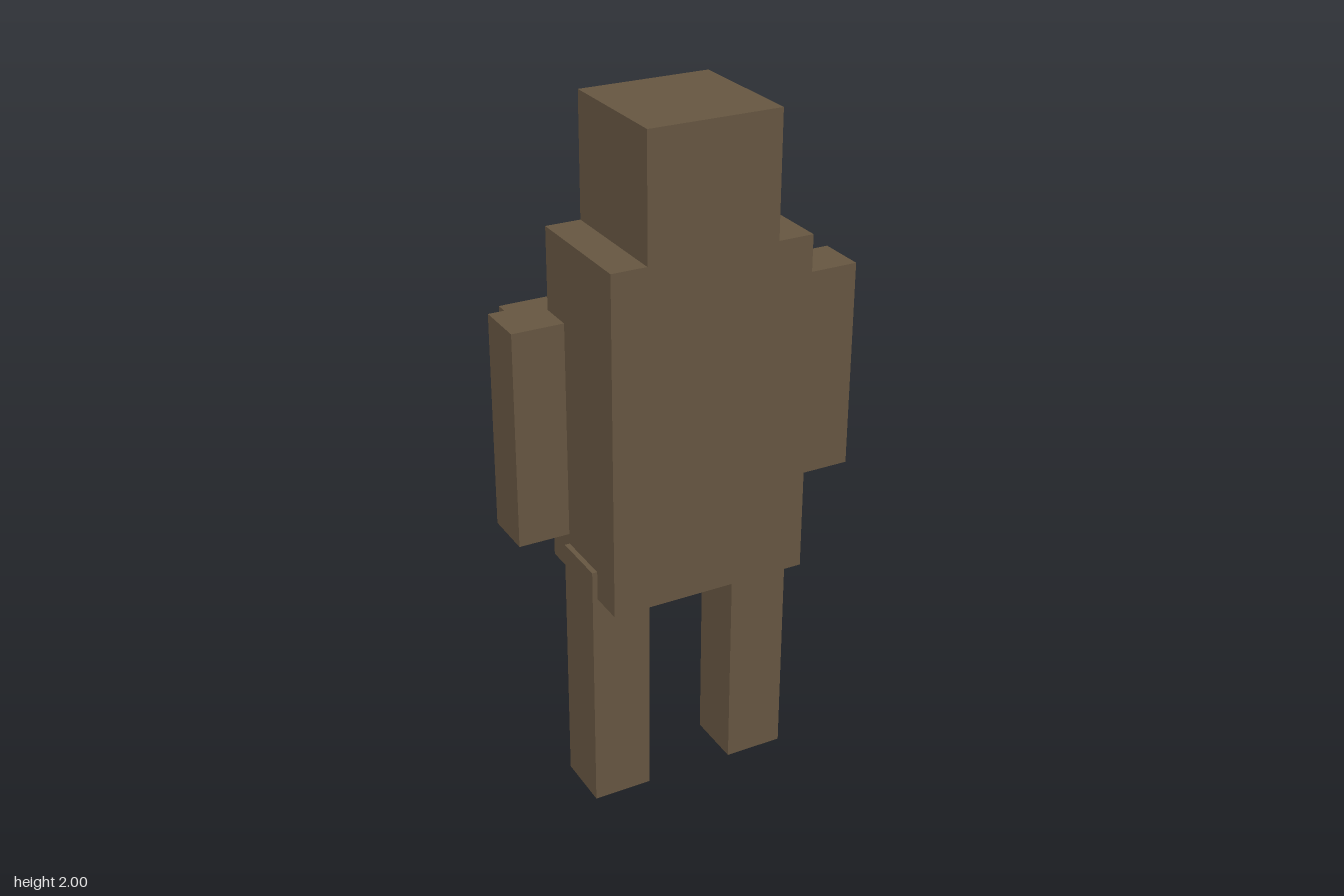
import * as THREE from 'three';

export function createModel() {
  const model = new THREE.Group();
  const brown = new THREE.MeshStandardMaterial({ color: 0x665641 });
  brown.name = 'brown';

  // Adds a block spanning the given x, y and z ranges
  function block(name, [x0, x1], [y0, y1], [z0, z1]) {
    const mesh = new THREE.Mesh(new THREE.BoxGeometry(x1 - x0, y1 - y0, z1 - z0), brown);
    mesh.position.set((x0 + x1) / 2, (y0 + y1) / 2, (z0 + z1) / 2);
    mesh.name = name;
    model.add(mesh);
  }

  // Head and torso share the same depth
  const bodyDepth = [-0.065, 0.31];
  block('head', [-0.19, 0.187], [1.652, 2], bodyDepth);
  block('torso', [-0.291, 0.289], [0.67, 1.652], bodyDepth);

  // Backpack floating just behind the torso
  block('backpack', [-0.327, 0.325], [0.836, 1.343], [-0.311, -0.081]);

  // Detached arms and legs tucked into the torso
  const armHeight = [0.887, 1.493], armDepth = [0.05, 0.194];
  block('leftArm', [0.361, 0.505], armHeight, armDepth);
  block('rightArm', [-0.508, -0.364], armHeight, armDepth);

  const legHeight = [0, 0.756], legDepth = [0.037, 0.208];
  block('leftLeg', [0.13, 0.303], legHeight, legDepth);
  block('rightLeg', [-0.306, -0.133], legHeight, legDepth);

  return model;
}
